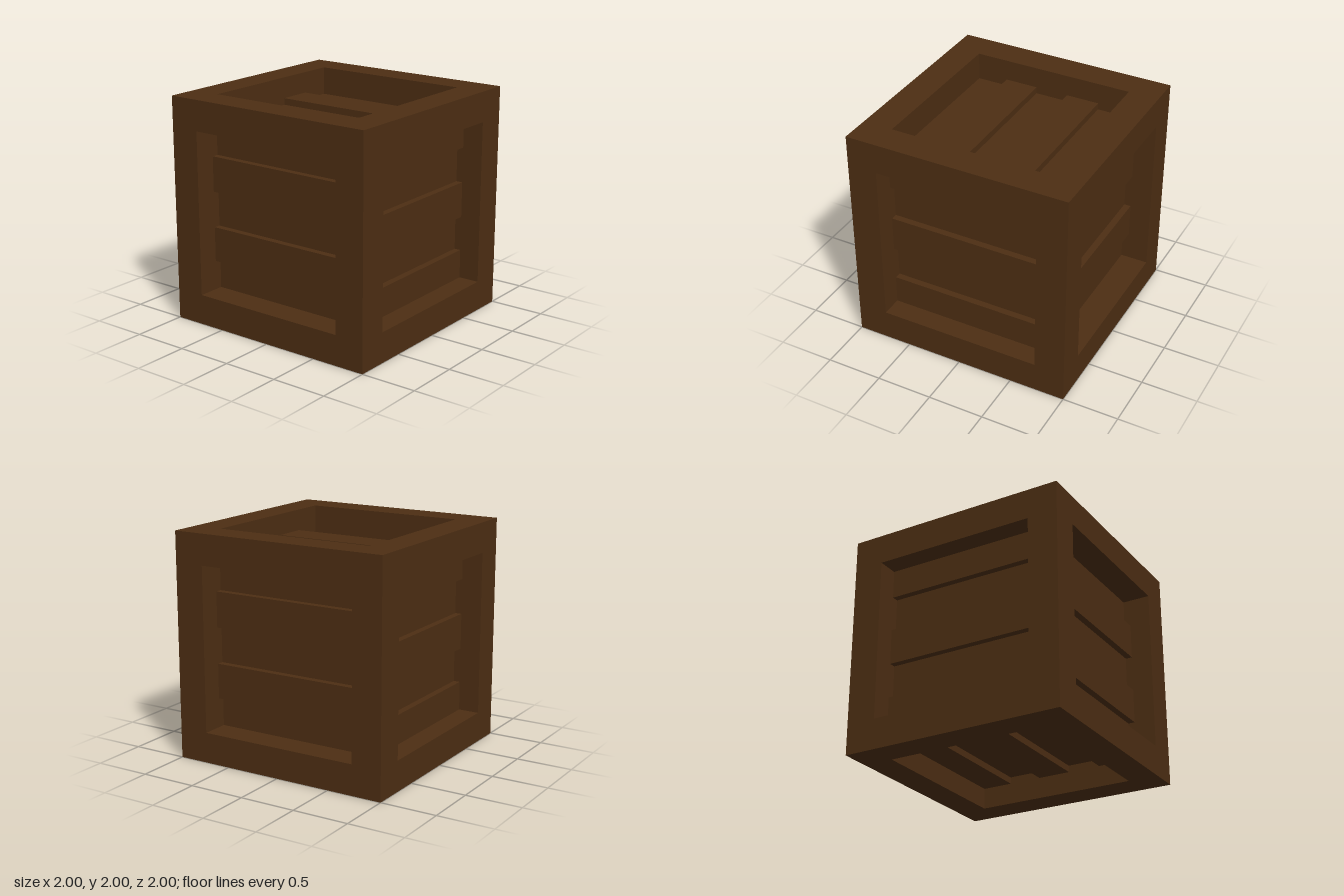
import * as THREE from 'three';

const BAR = 0.27;          // frame bar thickness
const OPEN = 1 - BAR;      // half width of each opening
const RAISED = 0.19;       // depth of the proud planks below the frame
const SUNK = 0.25;         // depth of the set-back planks

export function createModel() {
  const crate = new THREE.Group();
  crate.name = 'woodenCrate';
  const wood = new THREE.MeshStandardMaterial({ color: 0x4d2e13, flatShading: true });

  const box = (parent, name, size, pos) => {
    const mesh = new THREE.Mesh(new THREE.BoxGeometry(...size), wood);
    mesh.position.set(...pos);
    mesh.name = name;
    parent.add(mesh);
  };

  // Frame: corner posts, and beams fitted between them at top and bottom
  const frame = new THREE.Group();
  frame.name = 'frame';
  crate.add(frame);
  const c = 1 - BAR / 2;
  for (const a of [-c, c]) {
    for (const b of [-c, c]) {
      box(frame, 'cornerPost', [BAR, 2, BAR], [a, 1, b]);
      box(frame, 'crossBeam', [2 * OPEN, BAR, BAR], [0, 1 + a, b]);
      box(frame, 'sideBeam', [BAR, BAR, 2 * OPEN], [b, 1 + a, 0]);
    }
  }

  // Panel of five planks facing +z, alternately proud and set back
  const makePanel = (name, edges, outerRaised) => {
    const panel = new THREE.Group();
    panel.name = name;
    for (let i = 0; i < 5; i++) {
      const depth = (i % 2 === 0) === outerRaised ? RAISED : SUNK;
      const thick = BAR + 0.02 - depth;
      box(panel, 'plank', [2 * OPEN, edges[i + 1] - edges[i], thick],
        [0, (edges[i] + edges[i + 1]) / 2, 1 - depth - thick / 2]);
    }
    panel.position.y = 1;
    crate.add(panel);
    return panel;
  };

  // Side panels have level planks
  const wall = [-OPEN, -0.47, -0.16, 0.16, 0.475, OPEN];
  ['frontPanel', 'leftPanel', 'backPanel', 'rightPanel'].forEach((name, i) => {
    makePanel(name, wall, i % 2 === 0).rotation.y = i * Math.PI / 2;
  });

  // Lid and base have planks running front to back
  const flat = [-OPEN, -0.45, -0.15, 0.15, 0.45, OPEN];
  for (const [name, tilt, outerRaised] of [['lidPanel', -1, false], ['basePanel', 1, true]]) {
    const panel = makePanel(name, flat, outerRaised);
    panel.rotation.set(tilt * Math.PI / 2, 0, Math.PI / 2);
  }

  return crate;
}
